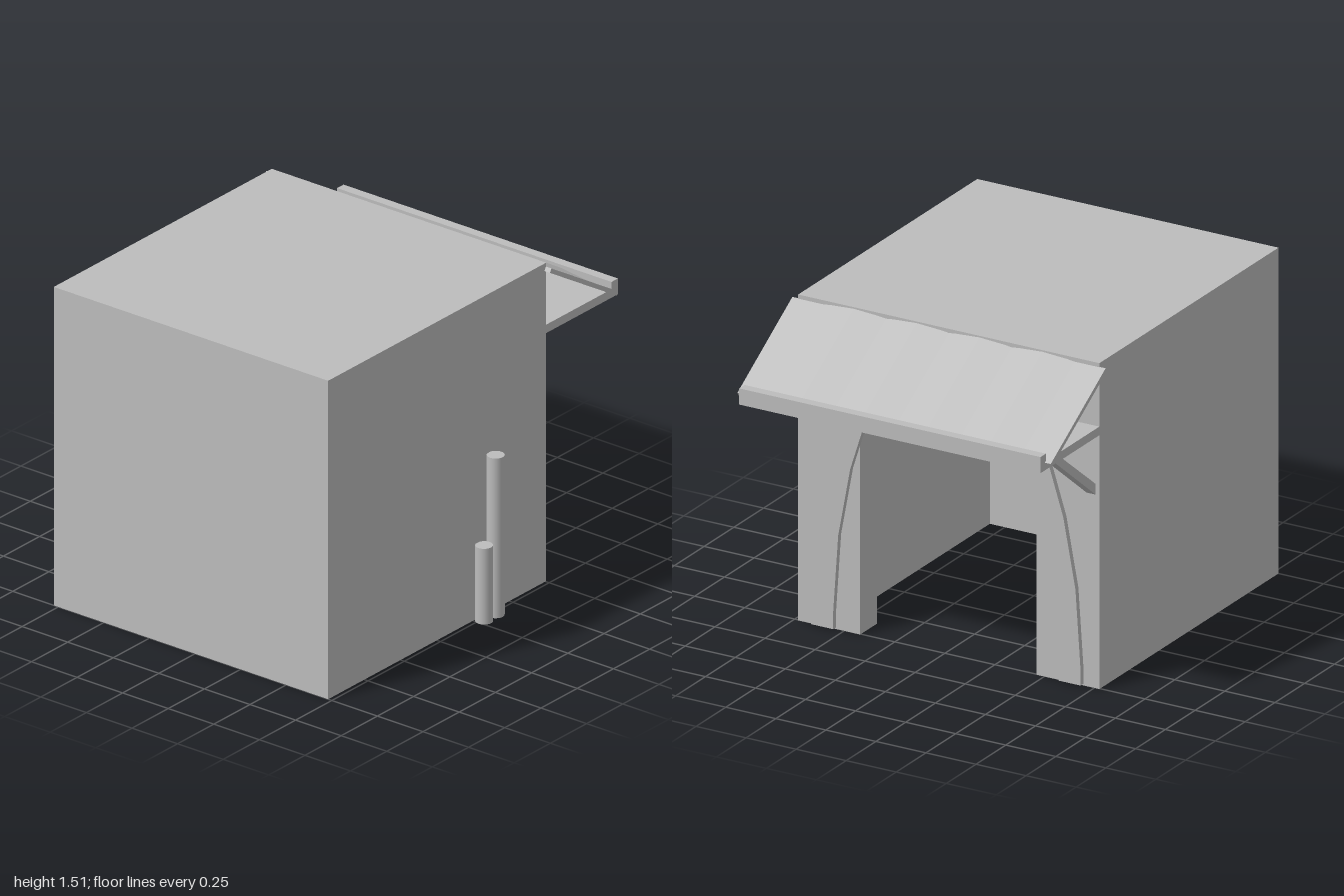
import * as THREE from 'three';

export function createModel() {
  const model = new THREE.Group();
  const grey = new THREE.MeshStandardMaterial({ color: 0xbcbcbc });
  grey.name = 'plain grey';

  const add = (name, geometry, parent = model) => {
    const mesh = new THREE.Mesh(geometry, grey);
    mesh.name = name;
    parent.add(mesh);
    return mesh;
  };
  // Box given by its limits on each axis
  const box = (name, [x0, x1], [y0, y1], [z0, z1], parent) => {
    const g = new THREE.BoxGeometry(x1 - x0, y1 - y0, z1 - z0);
    g.translate((x0 + x1) / 2, (y0 + y1) / 2, (z0 + z1) / 2);
    return add(name, g, parent);
  };
  const extrude = (points, depth) => new THREE.ExtrudeGeometry(
    new THREE.Shape(points.map(([x, y]) => new THREE.Vector2(x, y))),
    { depth, bevelEnabled: false });
  // Outline in (z, y), extruded along +x
  const extrudeX = (points, depth) =>
    extrude(points.map(([z, y]) => [-z, y]), depth).rotateY(Math.PI / 2);

  const back = -0.775, front = 0.73, left = -1, right = 0.505;
  const top = 1.515, ceiling = 1.36, wall = 0.155;
  const doorTop = 1.13, doorBack = -0.46, doorFront = 0.42;

  // Hollow building, open underneath, with a wide doorway on the +x side
  const building = new THREE.Group();
  building.name = 'building';
  model.add(building);
  box('roofSlab', [left, right], [ceiling, top], [back, front], building);
  box('frontWall', [left, right], [0, ceiling], [front - wall, front], building);
  box('backWall', [left, right], [0, ceiling], [back, back + wall], building);
  box('endWall', [left, left + wall], [0, ceiling], [back + wall, front - wall], building);
  const inner = right - 0.14;
  box('doorPierFront', [inner, right], [0, ceiling], [doorFront, front - wall], building);
  box('doorPierBack', [inner, right], [0, ceiling], [back + wall, doorBack], building);
  box('doorLintel', [inner, right], [doorTop, ceiling], [doorBack, doorFront], building);

  // Curved trim on both sides of the doorway
  const middle = (back + front) / 2;
  const curve = [[0.65, 0.008], [0.65, 0.09], [0.625, 0.45], [0.565, 0.77], [0.47, 1.07], [0.415, 1.18]];
  const outline = [...curve, ...curve.map(([z, y]) => [z - 0.11, y]).reverse()];
  add('archTrimFront', extrudeX(outline, 0.025)).position.x = right;
  add('archTrimBack', extrudeX(outline.map(([z, y]) => [2 * middle - z, y]), 0.025)).position.x = right;

  // Flat canopy shelf and its edge beam
  box('canopyShelf', [right, 0.955], [1.18, 1.22], [back, front]);
  box('canopyBeam', [0.955, 1], [1.18, 1.255], [back, front]);

  // Sloping sheet with shallow folds
  const folds = [[0.76, 0]];
  for (let i = 0; i < 9; i++) folds.push([0.605 - i * 0.157, i % 2 ? 0.016 : 0]);
  folds.push([-0.805, 0]);
  const sheet = [...folds, ...folds.map(([z, y]) => [z, y - 0.02]).reverse()];
  const awning = add('awningSheet', extrudeX(sheet, 0.54));
  awning.rotation.z = -Math.atan2(0.28, 0.46);
  awning.position.set(0.503, 1.497, 0);

  // Diagonal canopy brace near the back corner
  const brace = extrude([[right, 0.90], [0.53, 0.92], [0.86, 1.18], [0.80, 1.18], [0.53, 0.97], [right, 0.95]], 0.045);
  add('canopyBrace', brace).position.z = -0.755;

  // Two round posts against the front wall
  for (const [name, x, height] of [['shortPost', 0.03, 0.36], ['tallPost', 0.11, 0.76]]) {
    add(name, new THREE.CylinderGeometry(0.039, 0.039, height, 24)).position.set(x, height / 2, 0.767);
  }

  return model;
}
